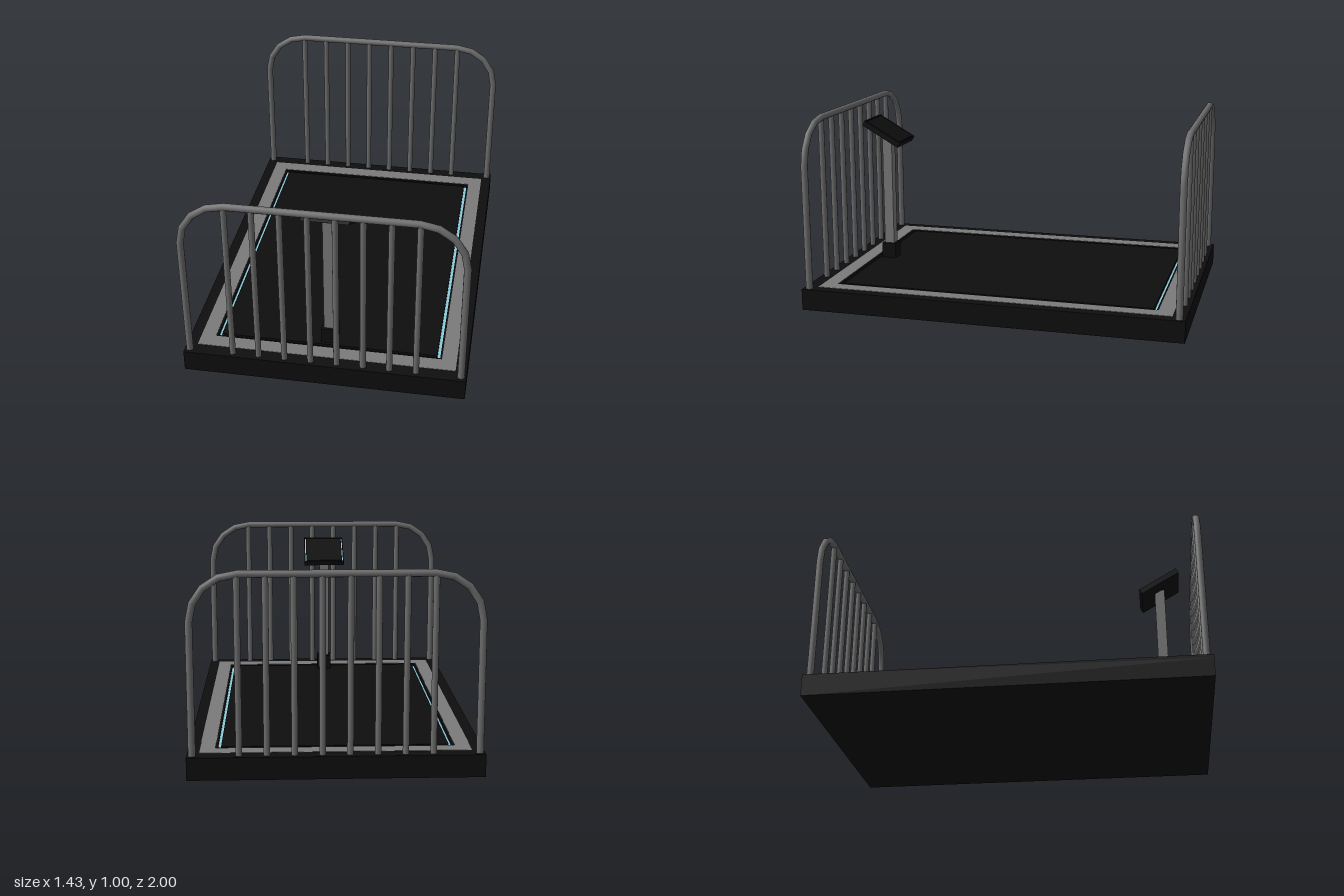
import * as THREE from 'three';

const mat = (name, color) => Object.assign(new THREE.MeshStandardMaterial({ color }), { name });

export function createModel() {
  const black = mat('black', 0x0e0e0e);
  const railGrey = mat('rail grey', 0x6e6e6e);
  const grey = mat('plate grey', 0x7b7b7b);
  const cyan = mat('light cyan', 0x8ccbdc);
  const root = new THREE.Group();
  root.name = 'platform';

  const add = (parent, name, geo, material, x = 0, y = 0, z = 0) => {
    const m = new THREE.Mesh(geo, material);
    m.name = name;
    m.position.set(x, y, z);
    parent.add(m);
    return m;
  };
  const rectPoints = (x, z) => [[-x, -z], [x, -z], [x, z], [-x, z]].map(p => new THREE.Vector2(...p));

  // Flat rectangular frame standing on y = 0; half sizes outside and inside
  const frame = (ox, oz, ix, iz, h) => {
    const s = new THREE.Shape(rectPoints(ox, oz));
    s.holes.push(new THREE.Path(rectPoints(ix, iz).reverse()));
    return new THREE.ExtrudeGeometry(s, { depth: h, bevelEnabled: false }).rotateX(-Math.PI / 2);
  };

  // Slab with a rectangular groove in its top and a light strip at the bottom of it
  const groovedSlab = (parent, name, hx, hz, h, lip, strip, depth) => {
    const g = new THREE.Group();
    g.name = name;
    const floor = h - depth;
    const [gx, gz] = lip, ix = gx - strip, iz = gz - strip;
    add(g, name + 'Body', new THREE.BoxGeometry(hx * 2, floor, hz * 2), black, 0, floor / 2);
    add(g, name + 'Rim', frame(hx, hz, gx, gz, depth), black, 0, floor);
    add(g, name + 'Inset', new THREE.BoxGeometry(ix * 2, depth, iz * 2), black, 0, floor + depth / 2);
    add(g, name + 'LightStrip', frame(gx, gz, ix, iz, 0.002), cyan, 0, floor);
    parent.add(g);
    return g;
  };

  // Base and its grey border
  const H = 0.112;
  groovedSlab(root, 'base', 0.713, 1, H, [0.572, 0.842], 0.016, 0.018);
  add(root, 'floorBorder', frame(0.657, 0.93, 0.582, 0.852, 0.003), grey, 0, H - 0.001);

  // Hoop outline: straight legs, corners of four segments, straight top
  const side = [new THREE.Vector3(0.687, H - 0.01, 0)];
  for (let i = 0; i <= 4; i++) {
    const a = i * Math.PI / 8;
    side.push(new THREE.Vector3(0.46 + 0.227 * Math.cos(a), 0.76 + 0.223 * Math.sin(a), 0));
  }
  const pts = [...side, ...side.map(p => new THREE.Vector3(-p.x, p.y, 0)).reverse()];
  const n = pts.length - 1;
  const dir = i => pts[i + 1].clone().sub(pts[i]).normalize();
  const curve = new THREE.Curve();
  curve.getPoint = curve.getPointAt = t => pts[Math.round(t * n)].clone();
  curve.getTangent = curve.getTangentAt = t => {
    const i = Math.round(t * n);
    return dir(Math.max(i - 1, 0)).add(dir(Math.min(i, n - 1))).normalize();
  };
  const hoop = new THREE.TubeGeometry(curve, n, 0.018, 12);
  const barTop = 0.98;
  const bar = new THREE.CylinderGeometry(0.0155, 0.0155, barTop - H, 12, 1, true);

  // Railings at both ends
  for (const [name, z] of [['frontRailing', 0.967], ['backRailing', -0.967]]) {
    const g = new THREE.Group();
    g.name = name;
    g.position.z = z;
    add(g, 'hoop', hoop, railGrey);
    for (let i = 0; i < 8; i++) add(g, 'bar', bar, railGrey, (i - 3.5) * 0.1325, (barTop + H) / 2);
    root.add(g);
  }

  // Control stand
  const stand = new THREE.Group();
  stand.name = 'controlStand';
  stand.position.z = 0.772;
  root.add(stand);
  add(stand, 'foot', new THREE.BoxGeometry(0.08, 0.09, 0.08), black, 0, 0.152);
  add(stand, 'post', new THREE.BoxGeometry(0.054, 0.637, 0.054), grey, 0, 0.5135);
  const panel = groovedSlab(stand, 'panel', 0.118, 0.118, 0.03, [0.1135, 0.1135], 0.006, 0.01);
  panel.rotation.x = -Math.PI / 6;
  panel.position.set(0, 0.828, 0.006);

  return root;
}
